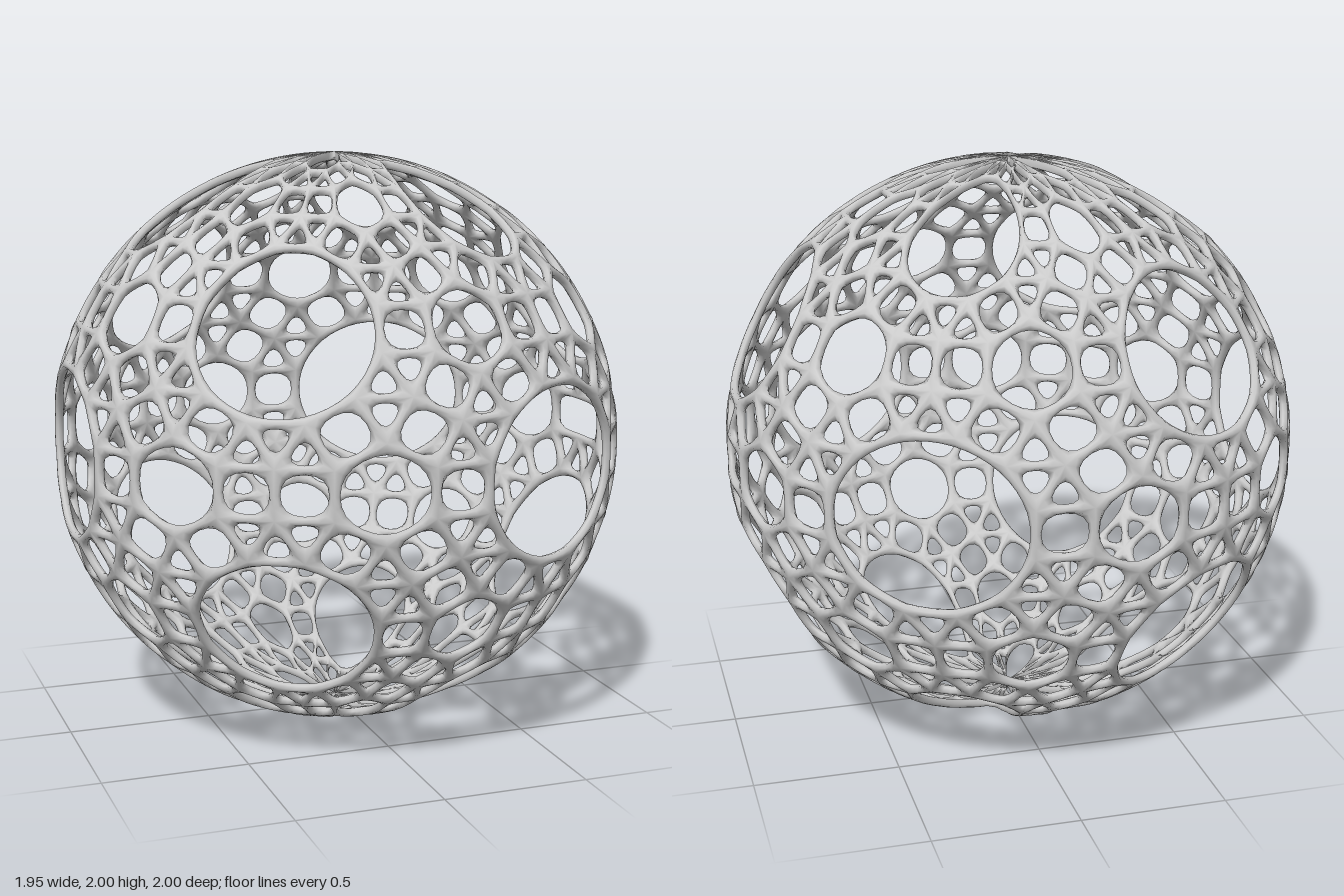
import * as THREE from 'three';
import { mergeVertices } from 'three/addons/utils/BufferGeometryUtils.js';

// A flat tiling of 12-gons, hexagons, squares and triangles (in degrees)
// is wrapped by longitude and latitude round a ball; every tile becomes a rounded hole.
const RAD = Math.PI / 180;
const HOLE_SPACING = 60;
const APOTHEM = HOLE_SPACING / Math.sqrt(3) / 2;           // of the 12-gons
const SIDE = 2 * APOTHEM * Math.tan(15 * RAD);             // shared tile edge
const LON_STRETCH = 2 / Math.sqrt(3);                      // makes six columns fill the circle
const BAR = 0.85;                                          // half bar width
const STEPS = 4;                                           // samples per tile corner
const PROFILE = [[0, 1], [0.65, 0.997], [1, 0.985], [0.65, 0.973], [0, 0.97]]; // inset, radius

// Regular tile with one edge facing the given angle
function regular(n, cx, cy, angle) {
  const r = SIDE / (2 * Math.sin(Math.PI / n));
  return Array.from({ length: n }, (_, i) => {
    const a = (angle + (i + 0.5) * 360 / n) * RAD;
    return new THREE.Vector2(cx + r * Math.cos(a), cy + r * Math.sin(a));
  });
}

function polar(cx, cy, dist, angle) {
  return [cx + dist * Math.cos(angle * RAD), cy + dist * Math.sin(angle * RAD)];
}

// All tiles, counter-clockwise
function makeTiles() {
  const tiles = [];
  for (let c = 0; c < 6; c++) {
    const x = c * 60 / LON_STRETCH;
    for (const y of c % 2 ? [-60, 0, 60] : [-90, -30, 30, 90]) {
      tiles.push(regular(12, x, y, 0));
      for (let a = 30; a < 360; a += 60) {
        tiles.push(regular(3, ...polar(x, y, APOTHEM + SIDE / (2 * Math.sqrt(3)), a), a + 180));
      }
      for (const side of [-1, 1]) {
        const hx = x + side * 2 * APOTHEM;
        tiles.push(regular(6, hx, y, 0));
        for (let a = 0; a < 360; a += 60) {
          tiles.push(regular(3, ...polar(hx, y, SIDE * (1 + 1 / Math.sqrt(3)), a + 30), a + 30));
          // two squares join into one slot along the seam
          if (c === 5 && side === 1 && a === 0) continue;
          if (c === 1 && side === -1 && a === 180) {
            const h = SIDE / 2;
            tiles.push([[-1, -1], [0, -1], [1, -1], [1, 1], [0, 1], [-1, 1]]
              .map(([u, v]) => new THREE.Vector2(u * SIDE, y + v * h)));
          } else {
            tiles.push(regular(4, ...polar(hx, y, SIDE * (Math.sqrt(3) / 2 + 0.5), a), a));
          }
        }
      }
    }
  }
  return tiles.filter((t) => t.some((p) => Math.abs(p.y) < 89.99));
}

// Tile corners moved inwards by half a bar
function inset(poly) {
  const n = poly.length;
  const normal = (a, b) => new THREE.Vector2(a.y - b.y, b.x - a.x).normalize();
  return poly.map((p, i) => {
    const n1 = normal(poly[(i + n - 1) % n], p), n2 = normal(p, poly[(i + 1) % n]);
    return n1.clone().add(n2).multiplyScalar(BAR / (1 + n1.dot(n2))).add(p);
  });
}

// Closed loop through the edge midpoints, with sharp or rounded corners
function loop(poly, rounded) {
  const n = poly.length, out = [];
  poly.forEach((p, i) => {
    const a = poly[(i + n - 1) % n].clone().lerp(p, 0.5);
    const b = p.clone().lerp(poly[(i + 1) % n], 0.5);
    for (let k = 0; k < STEPS; k++) {
      const t = k / STEPS;
      if (rounded) out.push(a.clone().lerp(p, t).lerp(p.clone().lerp(b, t), t));
      else out.push(t < 0.5 ? a.clone().lerp(p, 2 * t) : p.clone().lerp(b, 2 * t - 1));
    }
  });
  return out;
}

function toBall(p, r) {
  const lon = p.x * LON_STRETCH * RAD;
  const lat = THREE.MathUtils.clamp(p.y, -90, 90) * RAD;
  return [r * Math.cos(lat) * Math.cos(lon), r * Math.sin(lat), -r * Math.cos(lat) * Math.sin(lon)];
}

function latticeGeometry() {
  const positions = [], indices = [];
  for (const tile of makeTiles()) {
    const edge = loop(tile, false), hole = loop(inset(tile), true);
    const n = edge.length, base = positions.length / 3;
    const beyond = [];
    for (const [t, r] of PROFILE) {
      for (let i = 0; i < n; i++) {
        const p = edge[i].clone().lerp(hole[i], t);
        beyond.push(Math.abs(p.y) >= 89.999);
        positions.push(...toBall(p, r));
      }
    }
    for (let j = 0; j < PROFILE.length - 1; j++) {
      for (let i = 0; i < n; i++) {
        const a = j * n + i, b = j * n + (i + 1) % n, c = b + n, d = a + n;
        if ([a, b, c, d].every((k) => beyond[k])) continue;
        indices.push(base + a, base + b, base + c, base + a, base + c, base + d);
      }
    }
  }
  const geometry = new THREE.BufferGeometry();
  geometry.setAttribute('position', new THREE.Float32BufferAttribute(positions, 3));
  geometry.setIndex(indices);
  const merged = mergeVertices(geometry, 1e-4);
  merged.computeVertexNormals();
  return merged;
}

export function createModel() {
  const group = new THREE.Group();
  group.name = 'latticeBall';
  const material = new THREE.MeshStandardMaterial({ color: 0xcccccc });
  const shell = new THREE.Mesh(latticeGeometry(), material);
  shell.name = 'latticeShell';
  shell.position.set(-0.02, 1, 0);
  group.add(shell);
  return group;
}
